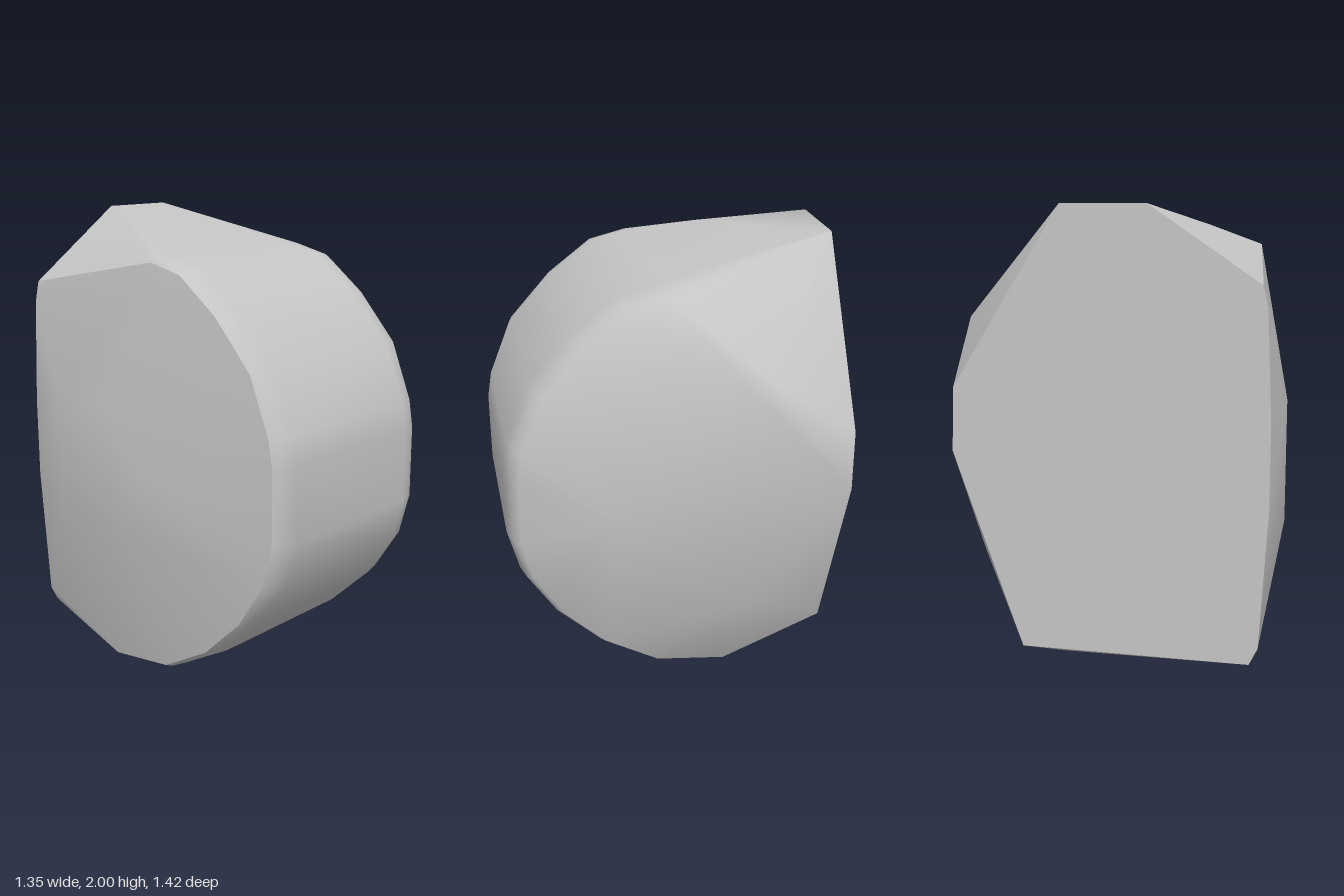
import * as THREE from 'three';
import { ConvexGeometry } from 'three/addons/geometries/ConvexGeometry.js';

// Smooths faces that meet below the crease angle, letting large faces dominate small bevels
function weightedNormals(geometry, crease) {
  const pos = geometry.attributes.position;
  const corner = (i) => new THREE.Vector3().fromBufferAttribute(pos, i);
  const around = new Map();
  const faces = [];
  const key = (v) => v.toArray().map((n) => Math.round(n * 1e4)).join();
  for (let i = 0; i < pos.count; i += 3) {
    const [a, b, c] = [corner(i), corner(i + 1), corner(i + 2)];
    const area = b.clone().sub(a).cross(c.clone().sub(a));
    const face = { area, unit: area.clone().normalize() };
    faces.push(face);
    for (const v of [a, b, c]) {
      if (!around.has(key(v))) around.set(key(v), []);
      around.get(key(v)).push(face);
    }
  }
  const limit = Math.cos(crease);
  for (let i = 0; i < pos.count; i++) {
    const own = faces[Math.floor(i / 3)];
    const n = own.area.clone();
    for (const f of around.get(key(corner(i)))) {
      if (f !== own && f.unit.dot(own.unit) > limit) n.add(f.area);
    }
    n.normalize();
    geometry.attributes.normal.setXYZ(i, n.x, n.y, n.z);
  }
  return geometry;
}

export function createModel() {
  const stone = new THREE.MeshStandardMaterial({ color: 0xc5c5c5 });
  stone.name = 'stone grey';
  const points = [];
  const add = (x, y, z) => points.push(new THREE.Vector3(x, y, z));

  // Rounded front profile as [z, y], from the top round to the underside
  const profile = [
    [0.03, 1.85], [0.2, 1.81], [0.4, 1.66], [0.59, 1.45], [0.69, 1.2], [0.71, 1.08],
    [0.71, 0.76], [0.66, 0.57], [0.53, 0.37], [0.33, 0.18], [0.08, 0.04], [-0.25, 0.0],
  ];
  // Cross-sections as [x, scale]: full width in the middle, drawn in at both rims
  const sections = [[-0.57, 0.955], [-0.535, 0.98], [-0.46, 1], [0.28, 1], [0.36, 0.98], [0.405, 0.945]];
  const cz = -0.25, cy = 0.95;
  for (const [x, s] of sections) {
    // The underside and top are drawn in less than the front
    const sy = 1 - (1 - s) * 0.55;
    for (const [z, y] of profile) add(x, cy + (y - cy) * sy, cz + (z - cz) * s);
  }
  // Bulge on the sloping top
  add(-0.35, 1.915, -0.27);

  // Flat cut back
  const back = [
    [0.22, 2.0], [-0.12, 2.0], [-0.57, 1.69], [-0.59, 1.6], [-0.61, 1.15], [-0.61, 0.8],
    [-0.575, 0.22], [-0.54, 0.15], [0.39, 0.2], [0.665, 1.02], [0.655, 1.28],
  ];
  for (const [x, y] of back) add(x, y, -0.71);

  // Broad facet on one side
  for (const z of [-0.23, -0.36]) add(0.66, 1.53, z);
  add(0.63, 0.95, 0.28);
  add(0.63, 0.48, -0.3);

  // Shallow facet on the other side
  for (const [y, z] of [[1.21, -0.47], [1.21, -0.2], [0.95, 0.03], [0.7, -0.1], [0.7, -0.47]]) {
    add(-0.68, y, z);
  }

  const boulder = new THREE.Mesh(weightedNormals(new ConvexGeometry(points), 0.75), stone);
  boulder.name = 'boulder';
  const group = new THREE.Group();
  group.name = 'rock';
  group.add(boulder);
  return group;
}
